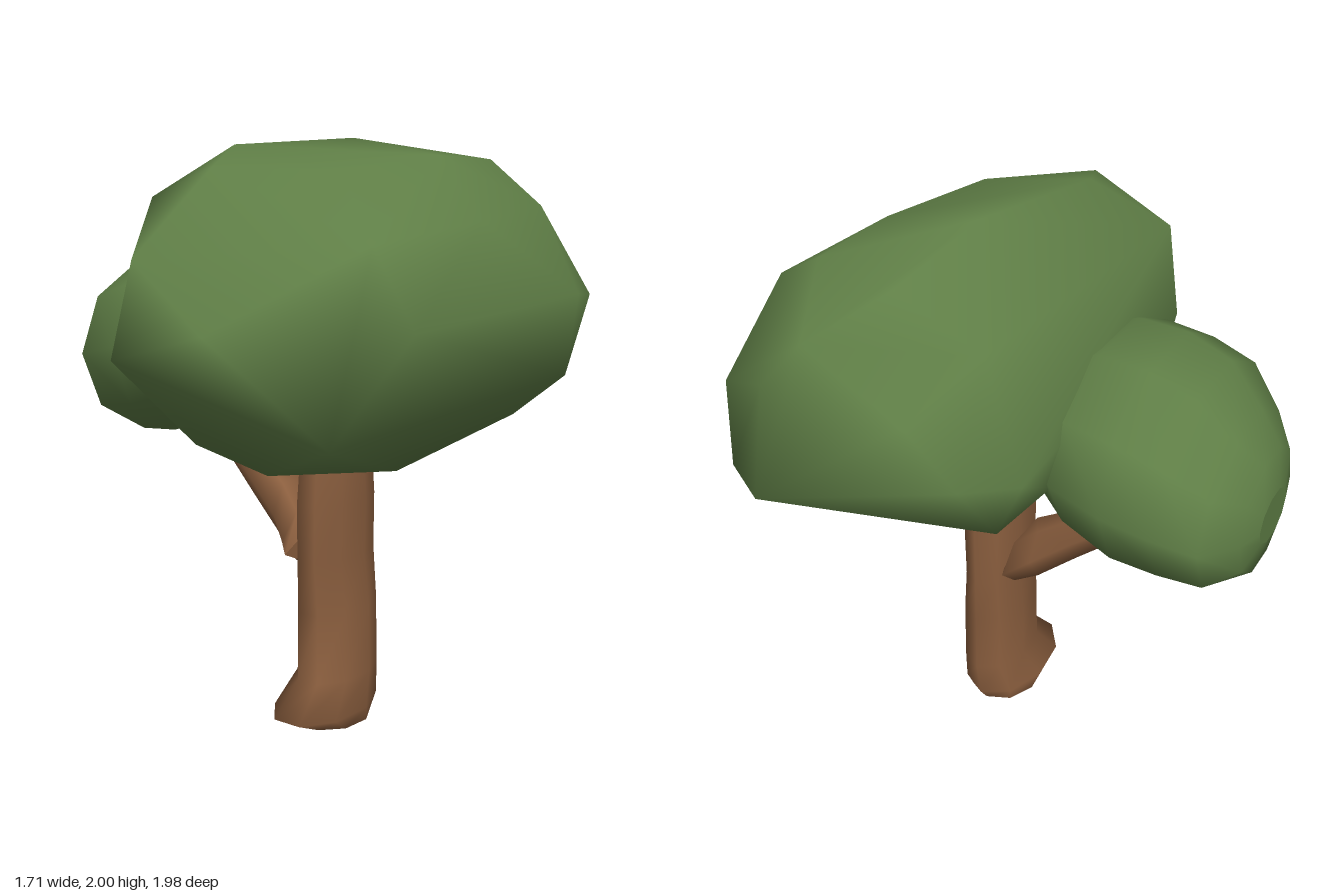
import * as THREE from 'three';
import { ConvexGeometry } from 'three/addons/geometries/ConvexGeometry.js';
import { mergeVertices } from 'three/addons/utils/BufferGeometryUtils.js';

const leafGreen = new THREE.MeshStandardMaterial({ color: 0x5f7e46 });
leafGreen.name = 'leafGreen';
const barkBrown = new THREE.MeshStandardMaterial({ color: 0x8a5e3e });
barkBrown.name = 'barkBrown';

// Place a section point: t along the axis, a and b across it (cyclic order)
const place = {
  x: (t, a, b) => [t, a, b],
  y: (t, a, b) => [b, t, a],
};

// Closed loft; each section is [t, aMin, aMax, bMin, bMax] around an n-sided profile
function loft(name, material, axis, n, sections) {
  const pos = [], idx = [];
  for (const [t, a0, a1, b0, b1] of sections) {
    for (let j = 0; j < n; j++) {
      const angle = (j + 0.5) / n * Math.PI * 2;
      const a = a0 + (a1 - a0) * (Math.cos(angle) + 1) / 2;
      const b = b0 + (b1 - b0) * (Math.sin(angle) + 1) / 2;
      pos.push(...place[axis](t, a, b));
    }
  }
  for (let i = 0; i < sections.length - 1; i++) {
    for (let j = 0; j < n; j++) {
      const a = i * n + j, b = i * n + (j + 1) % n, c = b + n, d = a + n;
      idx.push(a, b, c, a, c, d);
    }
  }
  // End caps keep their own vertices, so their rims stay sharp
  for (const last of [false, true]) {
    const [t, a0, a1, b0, b1] = sections[last ? sections.length - 1 : 0];
    const ring = last ? (sections.length - 1) * n : 0;
    const start = pos.length / 3;
    for (let j = 0; j < n * 3; j++) pos.push(pos[ring * 3 + j]);
    pos.push(...place[axis](t, (a0 + a1) / 2, (b0 + b1) / 2));
    for (let j = 0; j < n; j++) {
      const p = start + j, q = start + (j + 1) % n;
      idx.push(start + n, last ? p : q, last ? q : p);
    }
  }
  const geo = new THREE.BufferGeometry();
  geo.setAttribute('position', new THREE.Float32BufferAttribute(pos, 3));
  geo.setIndex(idx);
  geo.computeVertexNormals();
  const mesh = new THREE.Mesh(geo, material);
  mesh.name = name;
  return mesh;
}

// Smooth-shaded convex blob around slices [z, [x, y], [x, y], ...]
function blob(name, material, slices) {
  const points = slices.flatMap(([z, ...ring]) => ring.map(([x, y]) => new THREE.Vector3(x, y, z)));
  const hull = new ConvexGeometry(points);
  hull.deleteAttribute('normal');
  const geo = mergeVertices(hull, 1e-4);
  geo.computeVertexNormals();
  const mesh = new THREE.Mesh(geo, material);
  mesh.name = name;
  return mesh;
}

export function createModel() {
  const tree = new THREE.Group();
  tree.name = 'tree';

  // Large crown, long from back to front, with a blunt corner at each end
  tree.add(blob('largeCrown', leafGreen, [
    [-0.99, [0.37, 1.41]],
    [-0.86, [0.57, 1.38]],
    [-0.77, [0.33, 1.81], [0.5, 1.63], [0, 1.64], [-0.17, 1.48]],
    [-0.62, [0.79, 1.48], [-0.29, 1.45], [-0.2, 1.25]],
    [-0.5, [0.2, 1.89], [0.46, 1.93], [-0.1, 1.76]],
    [-0.4, [0.845, 1.5], [0.7, 1.78], [0.81, 1.23], [0.4, 0.95], [0.1, 1.04], [-0.26, 1.3]],
    [-0.25, [0.7, 1.11]],
    [-0.18, [0.11, 2.0], [0.44, 1.94]],
    [0, [0.41, 0.925], [0.79, 1.5], [0.7, 1.74], [-0.27, 1.5], [0.1, 1.0], [-0.15, 1.12]],
    [0.32, [0, 1.97], [0.4, 1.89], [-0.15, 1.1]],
    [0.45, [-0.275, 1.5], [-0.23, 1.81], [-0.23, 1.28]],
    [0.55, [0.8, 1.46], [0.66, 1.69], [0.3, 1.0], [0.02, 1.06], [-0.21, 1.5], [0.1, 1.9]],
    [0.81, [0.7, 1.17], [0.25, 1.17]],
    [0.92, [0.12, 1.65]],
    [0.94, [0.38, 1.46]],
    [0.99, [0.1, 1.38]],
  ]));

  // Small side crown, running into the large one
  tree.add(loft('smallCrown', leafGreen, 'x', 10, [
    [-0.86, 1.13, 1.30, -0.20, 0.02],
    [-0.83, 1.0, 1.42, -0.28, 0.14],
    [-0.75, 0.965, 1.51, -0.42, 0.26],
    [-0.61, 0.95, 1.60, -0.46, 0.41],
    [-0.46, 0.96, 1.66, -0.48, 0.42],
    [-0.28, 1.03, 1.65, -0.45, 0.44],
    [-0.12, 1.13, 1.58, -0.34, 0.36],
    [0.02, 1.25, 1.45, -0.15, 0.15],
  ]));

  // Trunk, wider from back to front, flared just above the ground
  tree.add(loft('trunk', barkBrown, 'y', 9, [
    [0, -0.17, 0.14, 0.02, 0.28],
    [0.06, -0.21, 0.27, 0, 0.30],
    [0.18, -0.205, 0.17, 0.05, 0.285],
    [0.42, -0.20, 0.165, 0.05, 0.28],
    [0.60, -0.21, 0.165, 0.055, 0.255],
    [0.80, -0.19, 0.18, 0.06, 0.27],
    [1.0, -0.18, 0.155, 0.065, 0.255],
    [1.2, -0.165, 0.14, 0.08, 0.24],
  ]));

  // Branch rising from the trunk to the small crown
  tree.add(loft('branch', barkBrown, 'x', 6, [
    [-0.48, 1.03, 1.15, -0.11, 0.0],
    [-0.34, 0.90, 1.06, -0.12, 0.01],
    [-0.18, 0.75, 0.95, -0.12, 0.05],
    [-0.03, 0.61, 0.84, -0.14, 0.09],
    [0.06, 0.56, 0.76, -0.18, 0.16],
    [0.11, 0.60, 0.67, -0.06, 0.21],
  ]));

  return tree;
}
